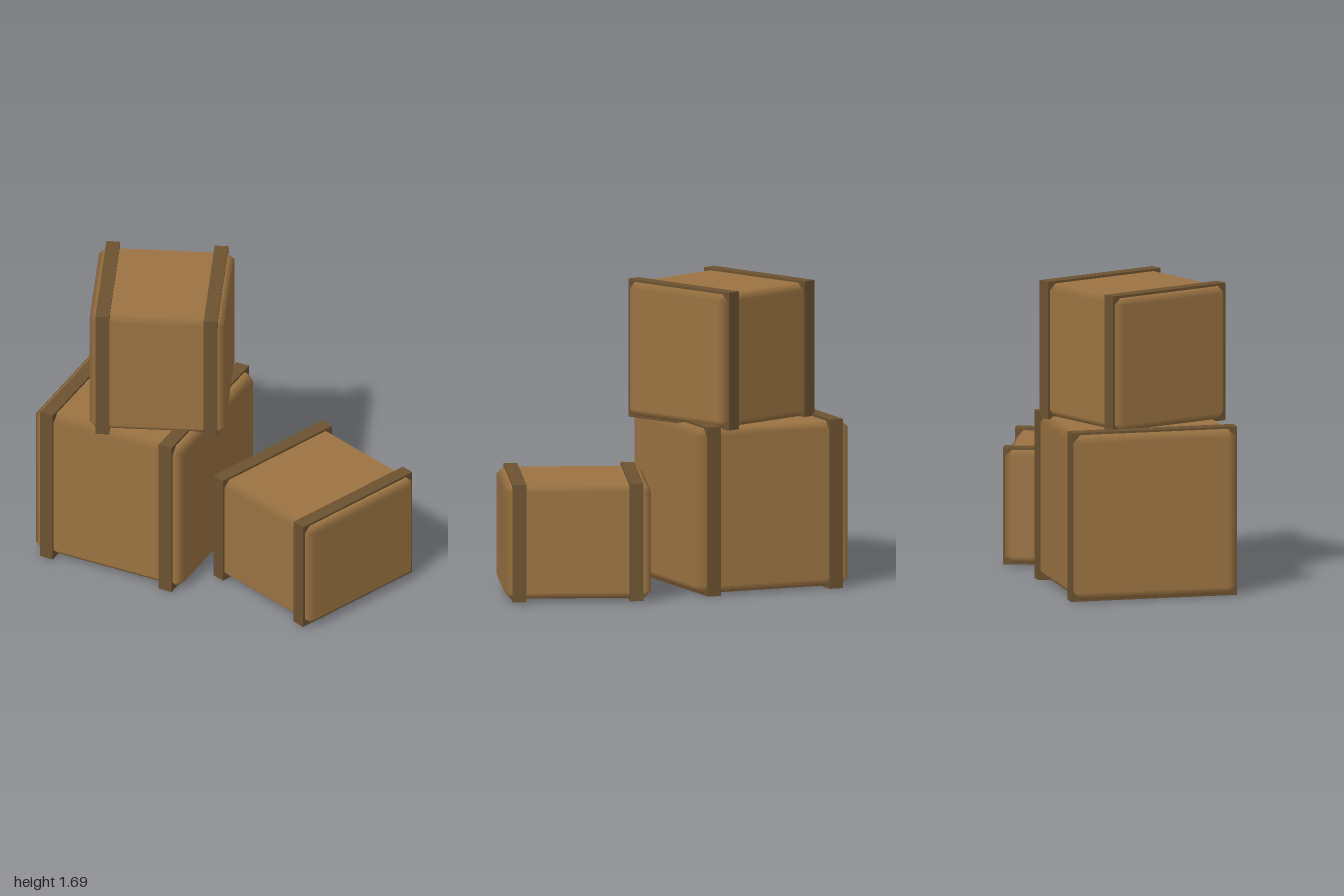
import * as THREE from 'three';
import { ConvexGeometry } from 'three/addons/geometries/ConvexGeometry.js';

const wood = new THREE.MeshStandardMaterial({ color: 0x9b7342 });
wood.name = 'wood';
const darkWood = new THREE.MeshStandardMaterial({ color: 0x6b5230 });
darkWood.name = 'dark wood';

// Box with single chamfers: flat faces, normals blended across the chamfers
function chamferedBox(w, h, d, c) {
  const half = [w / 2, h / 2, d / 2];
  const points = [];
  for (let axis = 0; axis < 3; axis++) {
    for (let corner = 0; corner < 8; corner++) {
      const p = half.map((v, i) => ((corner >> i) & 1 ? 1 : -1) * (i === axis ? v : v - c));
      points.push(new THREE.Vector3(...p));
    }
  }
  const geometry = new ConvexGeometry(points);
  const { position, normal } = geometry.attributes;
  for (let i = 0; i < position.count; i++) {
    const p = [position.getX(i), position.getY(i), position.getZ(i)];
    // Each corner point lies on exactly one main face
    const n = p.map((v, k) => (Math.abs(Math.abs(v) - half[k]) < 1e-4 ? Math.sign(v) : 0));
    normal.setXYZ(i, ...n);
  }
  return geometry;
}

// Crate with two bands wrapped around it, standing with its bands on y = base
function crate(name, [w, h, d], [x, base, z], turn, chamfer, bandWidth) {
  const group = new THREE.Group();
  group.name = name;
  const lip = 0.025;

  const body = new THREE.Mesh(chamferedBox(w, h, d, chamfer), wood);
  body.name = 'crateBody';
  group.add(body);

  const bandGeometry = new THREE.BoxGeometry(bandWidth, h + lip, d + lip);
  for (const side of [-1, 1]) {
    const band = new THREE.Mesh(bandGeometry, darkWood);
    band.name = side < 0 ? 'rightBand' : 'leftBand';
    band.position.x = side * w * 0.4;
    group.add(band);
  }

  group.position.set(x, base + (h + lip) / 2, z);
  group.rotation.y = turn;
  return group;
}

export function createModel() {
  const model = new THREE.Group();
  model.name = 'crateStack';
  model.add(
    crate('largeCrate', [0.92, 0.92, 0.92], [-0.5, 0, 0.055], 0.1, 0.042, 0.08),
    crate('topCrate', [0.75, 0.745, 0.75], [-0.385, 0.92, 0.054], 0.49, 0.038, 0.077),
    crate('lowCrate', [0.81, 0.63, 0.8], [0.517, 0.01, -0.082], -0.25, 0.036, 0.077),
  );
  return model;
}
